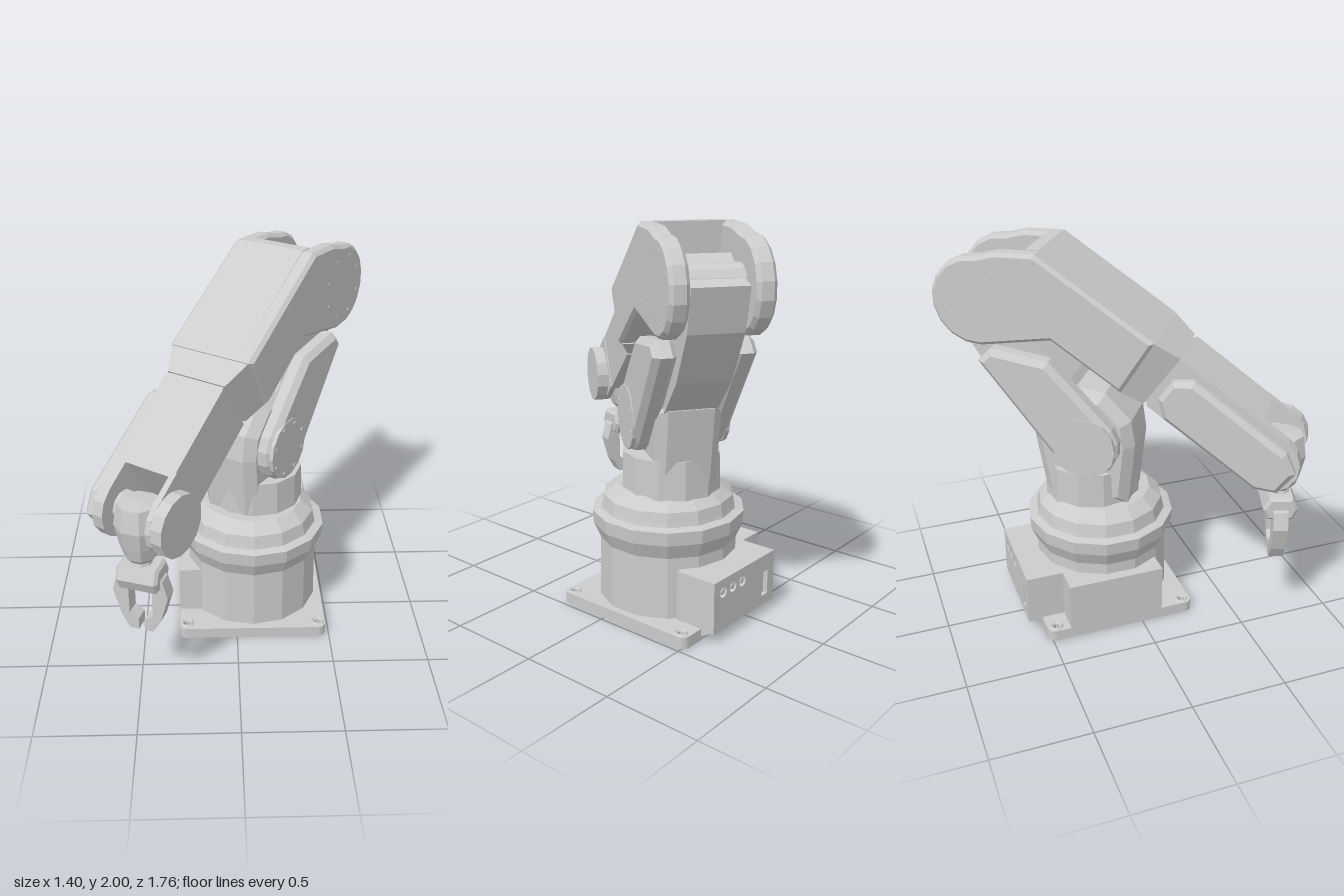
import * as THREE from 'three';

const grey = new THREE.MeshStandardMaterial({ color: 0xcccccc, flatShading: true });

function add(parent, name, geometry, x = 0, y = 0, z = 0) {
  const mesh = new THREE.Mesh(geometry, grey);
  mesh.name = name;
  mesh.position.set(x, y, z);
  parent.add(mesh);
  return mesh;
}

// Side profile of [z, y] points, extruded across x from x0 to x1 with chamfered rims
function slab(profile, x0, x1, bevel = 0) {
  const shape = new THREE.Shape(profile.map(([z, y]) => new THREE.Vector2(z, y)));
  const geometry = new THREE.ExtrudeGeometry(shape, {
    depth: x1 - x0 - 2 * bevel, bevelEnabled: bevel > 0, bevelSegments: 1,
    bevelSize: bevel, bevelThickness: bevel, bevelOffset: -bevel,
  });
  return geometry.rotateY(-Math.PI / 2).translate(x1 - bevel, 0, 0);
}

// Points along an arc, angles in degrees from +z towards +y
function arc(z, y, r, from, to, n) {
  return Array.from({ length: n + 1 }, (_, i) => {
    const a = THREE.MathUtils.degToRad(from + (to - from) * i / n);
    return [z + r * Math.cos(a), y + r * Math.sin(a)];
  });
}

const disc = (r, width, sides = 14) =>
  new THREE.CylinderGeometry(r, r, width, sides).rotateZ(Math.PI / 2);

// Ring of small screws on a joint's outer face
function screws(parent, name, x, y, z, r, count) {
  arc(z, y, r, 20, 380 - 360 / count, count - 1).forEach(([sz, sy]) =>
    add(parent, name, disc(0.011, 0.01, 5), x, sy, sz));
}

function circleHole(x, y, r) {
  return new THREE.Path().absarc(x, y, r, 0, Math.PI * 2, true);
}

function createBase() {
  const base = new THREE.Group();
  base.name = 'base';

  // Mounting plate with rounded corners and screw holes
  const [l, r, b, f, c] = [-0.31, 0.48, -0.52, 0.29, 0.04];
  const plate = new THREE.Shape();
  plate.absarc(r - c, f - c, c, 0, Math.PI / 2);
  plate.absarc(l + c, f - c, c, Math.PI / 2, Math.PI);
  plate.absarc(l + c, b + c, c, Math.PI, Math.PI * 1.5);
  plate.absarc(r - c, b + c, c, Math.PI * 1.5, Math.PI * 2);
  for (const x of [-0.27, 0.44]) for (const z of [-0.47, 0.24]) {
    plate.holes.push(circleHole(x, z, 0.02));
    const collar = new THREE.TorusGeometry(0.028, 0.009, 4, 8).rotateX(Math.PI / 2);
    add(base, 'mountingHoleCollar', collar, x, 0.06, z);
  }
  const plateGeometry = new THREE.ExtrudeGeometry(plate, { depth: 0.06, bevelEnabled: false, curveSegments: 3 });
  add(base, 'mountingPlate', plateGeometry.rotateX(Math.PI / 2), 0, 0.06, 0);

  // Electronics housing: side block, rear block and connector panel
  add(base, 'sideHousing', slab([[-0.4, 0.05], [0.11, 0.05], [0.11, 0.32], [-0.4, 0.32]], -0.31, 0.1));
  add(base, 'rearHousing', slab([[-0.37, 0.32], [-0.57, 0.32], [-0.57, 0.05], [-0.5, 0.01], [-0.37, 0.01]], -0.17, 0.345));
  const panel = new THREE.Shape([[-0.17, 0.05], [0.345, 0.05], [0.345, 0.32], [-0.17, 0.32]].map(p => new THREE.Vector2(...p)));
  panel.holes.push(new THREE.Path([[-0.115, 0.1], [-0.115, 0.23], [-0.065, 0.23], [-0.065, 0.1]].map(p => new THREE.Vector2(...p))));
  for (const x of [0.11, 0.19, 0.27]) {
    panel.holes.push(circleHole(x, 0.25, 0.028));
    add(base, 'connectorPin', new THREE.CylinderGeometry(0.015, 0.015, 0.025, 8).rotateX(Math.PI / 2), x, 0.25, -0.58);
  }
  add(base, 'connectorPanel', new THREE.ExtrudeGeometry(panel, { depth: 0.025, bevelEnabled: false, curveSegments: 5 }), 0, 0, -0.595);

  // Round body with the flared turning rings
  const profile = [[0, 0.05], [0.36, 0.05], [0.355, 0.38], [0.39, 0.46], [0.395, 0.53], [0.35, 0.54],
    [0.345, 0.56], [0.335, 0.61], [0.27, 0.665], [0, 0.67]].map(p => new THREE.Vector2(...p));
  add(base, 'turningBody', new THREE.LatheGeometry(profile, 14), 0.09, 0, -0.105);
  return base;
}

function createUpperArm(arm) {
  // Round shoulder foot and the pedestal between the side plates
  add(arm, 'shoulderFoot', new THREE.CylinderGeometry(0.25, 0.255, 0.2, 12), 0.02, 0.75, -0.035);
  add(arm, 'shoulderPedestal', slab([[-0.24, 0.66], [0.2, 0.66], [0.235, 1.0], [0.215, 1.14], [0.08, 1.28], [-0.08, 1.3],
    [-0.32, 1.12], [-0.3, 1.0]], -0.165, 0.165, 0.05));

  // Inner link running up to the elbow
  add(arm, 'upperArmLink', slab([[-0.14, 0.95], [0.08, 1.08], [-0.1, 1.34], [-0.32, 1.56], [-0.45, 1.87],
    [-0.55, 1.8], [-0.72, 1.76], [-0.66, 1.55], [-0.5, 1.3]], -0.132, 0.132));

  // Side plates, shoulder caps and elbow screws, mirrored
  const side = [...arc(0, 1.02, 0.175, 217, 397, 7), [-0.18, 1.46], [-0.48, 1.5], [-0.55, 1.43]];
  for (const s of [-1, 1]) {
    add(arm, 'upperArmSidePlate', slab(side, s > 0 ? 0.13 : -0.245, s > 0 ? 0.245 : -0.13, 0.03));
    add(arm, 'shoulderCap', disc(0.165, 0.02), s * 0.24, 1.02, 0);
    screws(arm, 'shoulderScrew', s * 0.25, 1.02, 0, 0.138, 8);
    screws(arm, 'elbowScrew', s * 0.235, 1.74, -0.54, 0.165, 8);
  }
  add(arm, 'elbowAxle', disc(0.1, 0.3), 0, 1.74, -0.54);
}

function createElbowHousing(arm) {
  const front = [[0.19, 1.345], [0.355, 1.615]];
  // Outer cheeks wrap the elbow joint
  const cheek = [...front, [-0.226, 1.995], [-0.42, 1.99], ...arc(-0.54, 1.74, 0.225, 85, 275, 9), [-0.16, 1.577]];
  // Solid middle stops short of the joint and leaves a slot behind it
  const middle = [...front, [-0.226, 1.998], [-0.29, 1.998], [-0.27, 1.65], [-0.16, 1.577]];
  add(arm, 'elbowHousingMiddle', slab(middle, -0.164, 0.164));
  for (const s of [-1, 1])
    add(arm, 'elbowCheek', slab(cheek, s > 0 ? 0.145 : -0.237, s > 0 ? 0.237 : -0.145, 0.018));
}

function createForearm() {
  // Local +z runs along the forearm to the wrist axis at the origin
  const forearm = new THREE.Group();
  forearm.name = 'forearm';
  forearm.position.set(0, 1.025, 0.915);
  forearm.rotation.x = THREE.MathUtils.degToRad(35);

  // Tapered neck out of the elbow housing
  const neck = new THREE.BoxGeometry(0.44, 0.32, 0.14);
  const p = neck.attributes.position;
  for (let i = 0; i < p.count; i++)
    if (p.getZ(i) > 0) p.setXYZ(i, p.getX(i) * 0.75, p.getY(i) * 0.97, p.getZ(i));
  add(forearm, 'forearmNeck', neck, 0, 0, -0.725);
  add(forearm, 'forearmSeam', new THREE.BoxGeometry(0.31, 0.29, 0.04), 0, 0, -0.645);
  add(forearm, 'forearmBody', new THREE.BoxGeometry(0.33, 0.31, 0.49), 0, 0, -0.395);

  // Wrist fork, axle and hub
  const prong = [[-0.18, -0.155], ...arc(0, 0, 0.155, -90, 90, 7), [-0.18, 0.155]];
  add(forearm, 'wristProng', slab(prong, 0.14, 0.17));
  add(forearm, 'wristProng', slab(prong, -0.166, -0.105));
  add(forearm, 'wristAxle', disc(0.08, 0.28, 10), 0.03, 0, 0);
  add(forearm, 'wristHub', disc(0.156, 0.062), 0.199, 0, 0);

  // Long drive cover on one side
  const cover = [[-0.62, -0.06], [-0.54, -0.13], [0.02, -0.13], [0.12, -0.07], [0.12, 0.07], [0.02, 0.13], [-0.54, 0.13], [-0.62, 0.06]];
  add(forearm, 'driveCover', slab(cover, -0.235, -0.16, 0.025));
  screws(forearm, 'driveCoverScrew', -0.233, 0, 0, 0.075, 6);
  return forearm;
}

function createGripper() {
  // Hangs straight down and is twisted a little about its own axis
  const gripper = new THREE.Group();
  gripper.name = 'gripper';
  gripper.position.set(0.025, 0, 0.962);
  gripper.rotation.y = THREE.MathUtils.degToRad(16);

  // Wrist body
  const wrist = [[0, 0.77], [0.06, 0.77], [0.05, 0.8], [0.08, 0.83], [0.1, 0.9], [0.12, 1.0], [0.1, 1.11], [0, 1.12]].map(q => new THREE.Vector2(...q));
  add(gripper, 'wristBody', new THREE.LatheGeometry(wrist, 8, Math.PI / 8));
  add(gripper, 'gripperPalm', slab([[-0.065, 0.66], [0.065, 0.66], [0.09, 0.72], [0.06, 0.785], [-0.06, 0.785], [-0.09, 0.72]], -0.105, 0.105, 0.015));

  // Two bent fingers
  const outline = [[0.06, 0.76], [0.06, 0.5], [0.015, 0.47], [0.015, 0.41], [0.06, 0.41], [0.1, 0.48], [0.14, 0.62], [0.115, 0.71]];
  for (const s of [-1, 1]) {
    const shape = new THREE.Shape(outline.map(([x, y]) => new THREE.Vector2(s * x, y)));
    const finger = new THREE.ExtrudeGeometry(shape, { depth: 0.076, bevelEnabled: false });
    add(gripper, 'finger', finger, 0, 0, -0.038);
  }
  return gripper;
}

export function createModel() {
  const model = new THREE.Group();
  model.name = 'robotArm';
  model.add(createBase());

  // Everything above the base is turned about the vertical axis
  const arm = new THREE.Group();
  arm.name = 'arm';
  arm.position.set(0.07, 0, -0.12);
  arm.rotation.y = THREE.MathUtils.degToRad(-35);
  createUpperArm(arm);
  createElbowHousing(arm);
  arm.add(createForearm(), createGripper());
  model.add(arm);
  return model;
}
